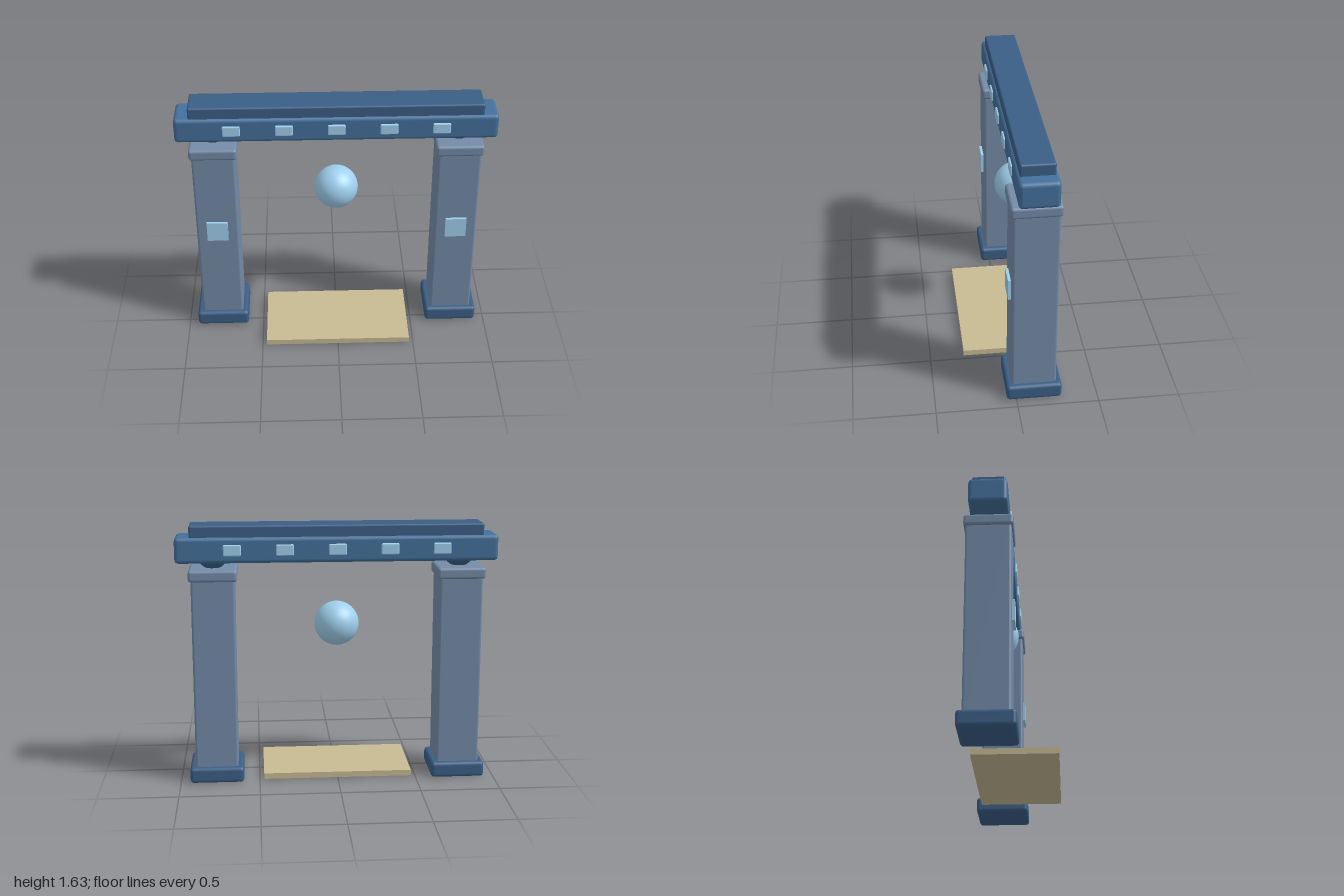
import * as THREE from 'three';
import { RoundedBoxGeometry } from 'three/addons/geometries/RoundedBoxGeometry.js';

const mat = (color) => new THREE.MeshStandardMaterial({ color });

export function createModel() {
  const model = new THREE.Group();
  const stone = mat(0x748ba8), navy = mat(0x3b5f86), beamBlue = mat(0x44709c);
  const glow = mat(0x9fd0ee), sand = mat(0xc8bb94);
  const Z = -0.11; // centre plane of the gate

  function add(parent, name, geometry, material, x, y, z) {
    const mesh = new THREE.Mesh(geometry, material);
    mesh.name = name;
    mesh.position.set(x, y, z);
    parent.add(mesh);
    return mesh;
  }
  // rounded block spanning y0..y1
  function block(parent, name, w, y0, y1, d, r, material, x = 0, z = Z) {
    return add(parent, name, new RoundedBoxGeometry(w, y1 - y0, d, 2, r), material, x, (y0 + y1) / 2, z);
  }

  // Two pillars, each with base, shaft, cap, bearing and glowing front panel
  for (const [side, name] of [[1, 'leftPillar'], [-1, 'rightPillar']]) {
    const pillar = new THREE.Group();
    pillar.name = name;
    pillar.position.x = side * 0.77;
    model.add(pillar);
    block(pillar, 'base', 0.34, 0, 0.1, 0.34, 0.022, navy);
    block(pillar, 'shaft', 0.27, 0.06, 1.31, 0.275, 0.015, stone);
    block(pillar, 'cap', 0.3, 1.29, 1.362, 0.3, 0.018, stone);
    add(pillar, 'bearing', new THREE.SphereGeometry(0.1, 24, 16), navy, 0, 1.45, Z);
    add(pillar, 'panel', new THREE.BoxGeometry(0.135, 0.135, 0.03), glow, 0, 0.757, 0.03);
  }

  // Lintel and the thinner slab on top of it
  block(model, 'lintel', 2, 1.4, 1.562, 0.236, 0.025, beamBlue);
  block(model, 'topSlab', 1.82, 1.55, 1.632, 0.204, 0.012, navy);

  // Row of studs on both faces of the lintel
  for (const side of [1, -1]) {
    for (let i = -2; i <= 2; i++) {
      block(model, 'stud', 0.11, 1.447, 1.517, 0.04, 0.008, glow, i * 0.324, Z + side * 0.11);
    }
  }

  // Floating orb in the opening
  add(model, 'orb', new THREE.SphereGeometry(0.14, 32, 24), glow, 0, 0.995, Z);

  // Threshold slab on the ground
  add(model, 'threshold', new THREE.BoxGeometry(0.945, 0.037, 0.52), sand, 0, 0.023, 0.025);

  return model;
}
